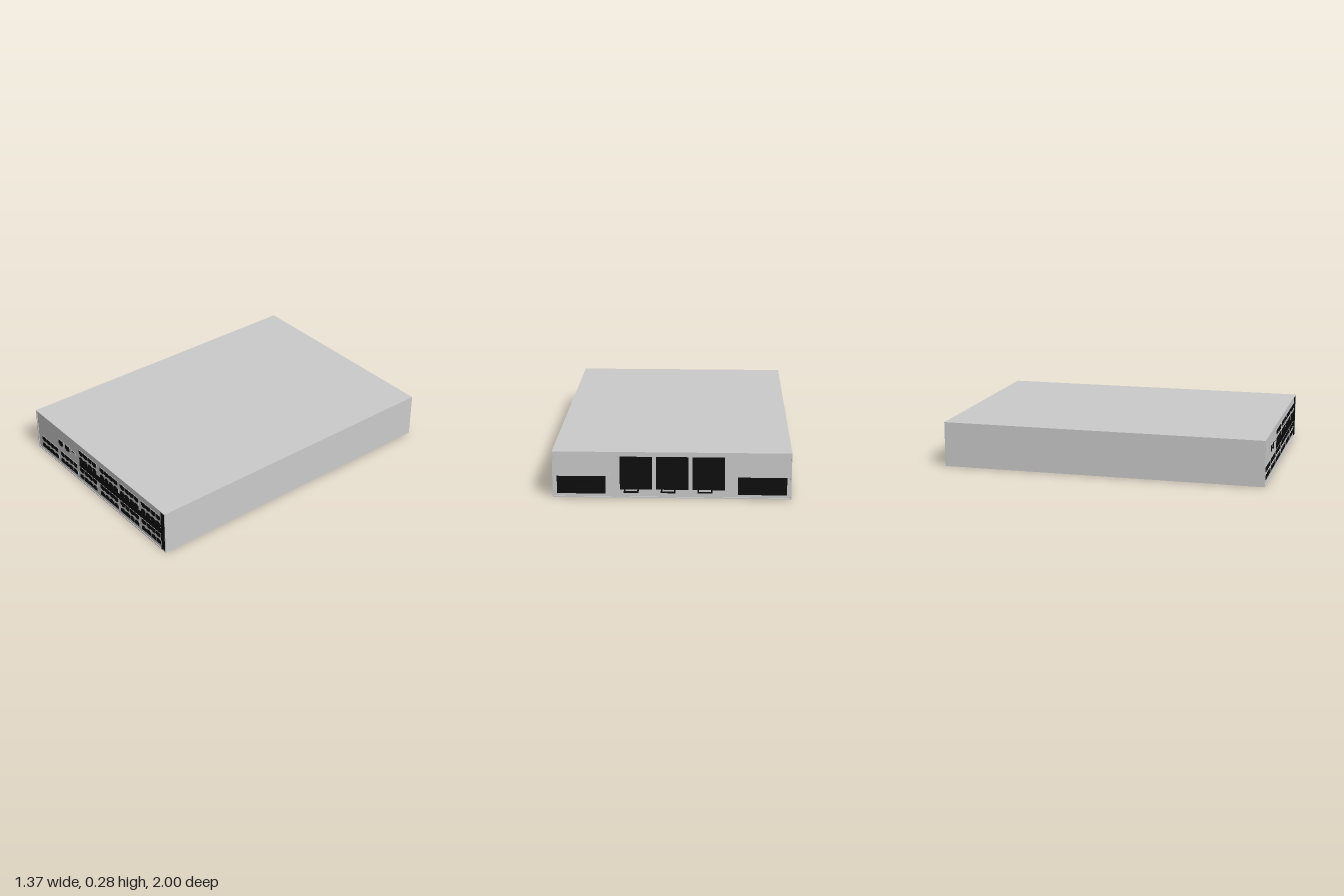
import * as THREE from 'three';

const W = 1.37, H = 0.275, FRONT = 1.0, BACK = -0.965;
const RIM = 0.006, RECESS = 0.005;
const grey = new THREE.MeshStandardMaterial({ color: 0xcccccc });
const black = new THREE.MeshStandardMaterial({ color: 0x0c0c0c });

function add(parent, name, geometry, material, x = 0, y = 0, z = 0) {
  const mesh = new THREE.Mesh(geometry, material);
  mesh.name = name;
  mesh.position.set(x, y, z);
  parent.add(mesh);
  return mesh;
}

// Box given by its x, y and z ranges
function block(parent, name, material, x0, x1, y0, y1, z0, z1) {
  return add(parent, name, new THREE.BoxGeometry(x1 - x0, y1 - y0, z1 - z0), material,
    (x0 + x1) / 2, (y0 + y1) / 2, (z0 + z1) / 2);
}

// Jack opening: a rectangle with a narrower latch notch below it
function jackGeometry(w, h, notchW, notchH, depth) {
  const s = new THREE.Shape([
    [-w / 2, h / 2], [-w / 2, -h / 2], [-notchW / 2, -h / 2], [-notchW / 2, -h / 2 - notchH],
    [notchW / 2, -h / 2 - notchH], [notchW / 2, -h / 2], [w / 2, -h / 2], [w / 2, h / 2],
  ].map(([x, y]) => new THREE.Vector2(x, y)));
  return new THREE.ExtrudeGeometry(s, { depth, bevelEnabled: false });
}

function rectPath(Type, w, h) {
  return new Type([[-w / 2, -h / 2], [w / 2, -h / 2], [w / 2, h / 2], [-w / 2, h / 2]]
    .map(([x, y]) => new THREE.Vector2(x, y)));
}

export function createModel() {
  const model = new THREE.Group();
  model.name = 'rackSwitch';

  // Sheet metal sleeve, open at both ends, with recessed end panels
  const sleeve = rectPath(THREE.Shape, W, H);
  sleeve.holes.push(rectPath(THREE.Path, W - 2 * RIM, H - 2 * RIM));
  add(model, 'caseSleeve', new THREE.ExtrudeGeometry(sleeve, { depth: FRONT - BACK, bevelEnabled: false }),
    grey, 0, H / 2, BACK);
  const inX = W / 2 - RIM, panelZ = FRONT - RECESS, backZ = BACK + RECESS;
  block(model, 'frontPanel', grey, -inX, inX, RIM, H - RIM, panelZ - 0.01, panelZ);
  block(model, 'backPanel', grey, -inX, inX, RIM, H - RIM, backZ, backZ + 0.01);

  // Dark trim on the front
  block(model, 'sideStrip', black, 0.643, inX, RIM, H - RIM, panelZ, panelZ + 0.004);
  block(model, 'middleStrip', black, -0.204, 0.643, 0.111, 0.151, panelZ, panelZ + 0.003);

  // Banks of four port columns, each with an upper and a mirrored lower socket
  const pitch = 0.0478, socket = jackGeometry(0.043, 0.025, 0.022, 0.006, 0.0015);
  function portBank(x0, cy) {
    const bank = new THREE.Group();
    bank.name = 'portBank';
    bank.position.set(x0 + 2 * pitch, cy, panelZ);
    block(bank, 'bankBezel', grey, -2 * pitch, 2 * pitch, -0.041, 0.041, 0, 0.002);
    for (let i = 0; i < 4; i++) {
      const x = (i - 1.5) * pitch;
      add(bank, 'upperSocket', socket, black, x, 0.0255, 0.002);
      add(bank, 'lowerSocket', socket, black, x, -0.0255, 0.002).rotation.z = Math.PI;
    }
    model.add(bank);
  }
  const mainBanks = [-0.204, 0.022, 0.234, 0.447];
  mainBanks.forEach((x) => portBank(x, 0.191));
  [-0.639, -0.422, ...mainBanks].forEach((x) => portBank(x, 0.067));

  // Management jacks and the small console port
  const jack = jackGeometry(0.046, 0.03, 0.028, 0.008, 0.0015);
  for (const x of [-0.412, -0.338]) {
    block(model, 'jackBezel', grey, x - 0.028, x + 0.028, 0.144, 0.19, panelZ, panelZ + 0.002);
    add(model, 'managementJack', jack, black, x, 0.171, panelZ + 0.002);
  }
  block(model, 'consolePortShell', grey, -0.293, -0.249, 0.166, 0.184, panelZ, panelZ + 0.002);
  block(model, 'consolePortSlot', black, -0.288, -0.254, 0.175, 0.18, panelZ + 0.002, panelZ + 0.003);

  // Three fan trays with pull handles
  for (let i = -1; i <= 1; i++) {
    const x = i * 0.208 - 0.003;
    block(model, 'fanTray', black, x - 0.093, x + 0.093, 0.05, 0.246, backZ - 0.003, backZ);
    const hx = i * 0.211 + 0.02, r = 0.004;
    const handle = new THREE.Group();
    handle.name = 'fanHandle';
    block(handle, 'handleBar', black, hx - 0.042, hx + 0.042, 0.042, 0.05, -1, -1 + 2 * r);
    for (const s of [-1, 1]) {
      const lx = hx + s * (0.042 - r);
      block(handle, 'handleLeg', black, lx - r, lx + r, 0.042, 0.05, -1 + 2 * r, backZ);
    }
    model.add(handle);
  }

  // Power supply bays and their screws
  const screw = new THREE.CylinderGeometry(0.005, 0.005, 0.003, 12).rotateX(Math.PI / 2);
  for (const s of [-1, 1]) {
    const x = s * 0.52;
    block(model, 'powerSupplyBay', black, x - 0.14, x + 0.14, 0.023, 0.127, backZ - 0.003, backZ);
    add(model, 'panelScrew', screw, grey, s * 0.36, 0.141, backZ - 0.0015);
  }
  return model;
}
